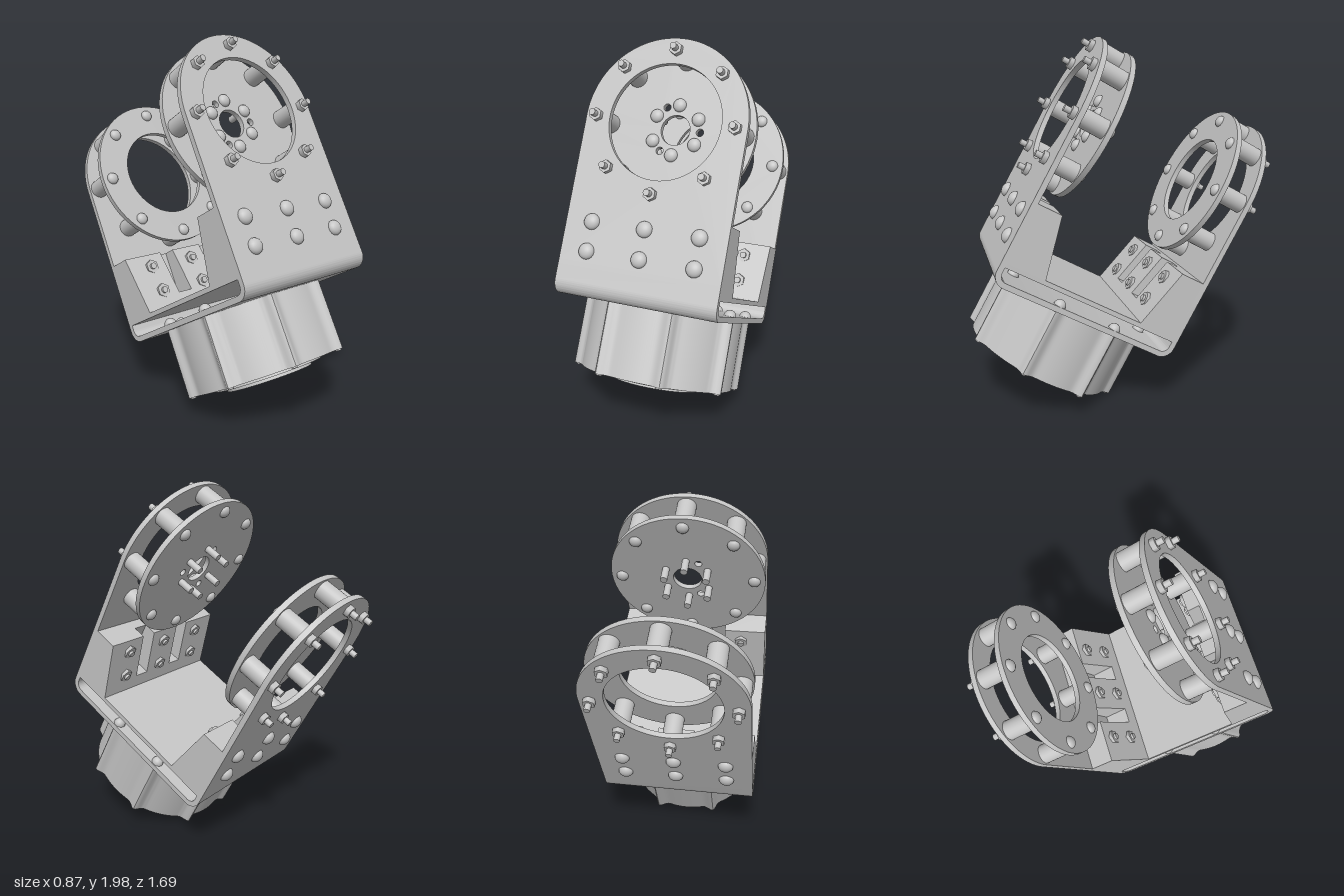
import * as THREE from 'three';
import { toCreasedNormals } from 'three/addons/utils/BufferGeometryUtils.js';

const W = 0.433;          // half width of the bracket
const CY = 1.257;         // height of the arm ring centres
const BACK = 0.01, FRONT = 1.07, T = 0.03;
const AXIS = 0.523;       // motor axis depth

export function createModel() {
  const metal = new THREE.MeshStandardMaterial({ color: 0xc4c4c4 });
  metal.name = 'grey metal';
  const body = new THREE.Group();
  body.name = 'tiltedAssembly';

  const add = (geo, name, parent = body) => {
    const m = new THREE.Mesh(geo, metal);
    m.name = name;
    parent.add(m);
    return m;
  };
  const extrude = (shape, depth) => toCreasedNormals(
    new THREE.ExtrudeGeometry(shape, { depth, bevelEnabled: false, curveSegments: 32 }), 0.6);
  // Profile given as (depth, height), extruded sideways from x0 to x1
  const sideways = (shape, x0, x1) =>
    extrude(shape, x1 - x0).rotateY(-Math.PI / 2).translate(x1, 0, 0);
  const polygon = (pts) => new THREE.Shape(pts.map(p => new THREE.Vector2(...p)));
  const hole = (shape, x, y, r) => shape.holes.push(new THREE.Path().absarc(x, y, r, 0, Math.PI * 2, true));
  // Round bar along z between two depths
  const bar = (name, r, x, y, z0, z1, sides = 20) =>
    add(new THREE.CylinderGeometry(r, r, Math.abs(z1 - z0), sides).rotateX(Math.PI / 2)
      .translate(x, y, (z0 + z1) / 2), name);
  // Domed screw head pointing along +z or -z
  const dome = (name, r, x, y, z, dir) => {
    const m = add(new THREE.SphereGeometry(r, 18, 6, 0, Math.PI * 2, 0, Math.PI / 2)
      .scale(1, 0.75, 1).rotateX(dir * Math.PI / 2), name);
    m.position.set(x, y, z);
  };

  // Lower U strip with rounded bends
  const r = 0.07, q = r - T, lo = 0.33, up = 0.5;
  const u = new THREE.Shape();
  u.moveTo(BACK, up);
  u.lineTo(BACK, lo + r);
  u.absarc(BACK + r, lo + r, r, Math.PI, Math.PI * 1.5, false);
  u.lineTo(FRONT - r, lo);
  u.absarc(FRONT - r, lo + r, r, -Math.PI / 2, 0, false);
  u.lineTo(FRONT, up);
  u.lineTo(FRONT - T, up);
  u.lineTo(FRONT - T, lo + r);
  u.absarc(FRONT - r, lo + r, q, 0, -Math.PI / 2, true);
  u.lineTo(BACK + r, lo + T);
  u.absarc(BACK + r, lo + r, q, -Math.PI / 2, -Math.PI, true);
  u.lineTo(BACK + T, up);
  add(sideways(u, -W, W), 'bracketBase');
  add(new THREE.BoxGeometry(2 * W, 0.025, FRONT - BACK - 2 * T)
    .translate(0, 0.4425, (FRONT + BACK) / 2), 'bracketFloor');

  // Two arms: dir is the outward direction, out the outer face of the plate
  for (const [label, dir, out] of [['front', 1, FRONT], ['back', -1, BACK]]) {
    const inner = out - dir * T;
    const ringOut = out - dir * 0.17, ringIn = out - dir * 0.2;

    const plate = new THREE.Shape();
    plate.moveTo(-W, up);
    plate.lineTo(W, up);
    plate.lineTo(W, CY);
    plate.absarc(0, CY, W, 0, Math.PI, false);
    hole(plate, 0, CY, 0.3);
    add(extrude(plate, T).translate(0, 0, Math.min(out, inner)), label + 'ArmPlate');

    // Inner plate: a drilled disc at the front, an open ring at the back
    const disc = new THREE.Shape().absarc(0, CY, W, 0, Math.PI * 2, false);
    if (dir > 0) {
      hole(disc, 0, CY, 0.08);
      for (let i = 0; i < 3; i++) {
        const a = i * Math.PI * 2 / 3;
        hole(disc, 0.135 * Math.cos(a), CY + 0.135 * Math.sin(a), 0.02);
      }
      for (let i = 0; i < 6; i++) {
        const a = Math.PI / 6 + i * Math.PI / 3;
        const x = 0.134 * Math.cos(a), y = CY + 0.134 * Math.sin(a);
        dome('hubScrewHead', 0.036, x, y, ringOut, 1);
        bar('hubScrewPin', 0.02, x, y, 0.785, ringOut);
      }
    } else hole(disc, 0, CY, 0.255);
    add(extrude(disc, T).translate(0, 0, Math.min(ringIn, ringOut)), label + 'InnerDisc');

    // Spacers with nuts outside and screw heads inside
    for (let i = 0; i < 8; i++) {
      const a = i * Math.PI / 4;
      const x = 0.372 * Math.cos(a), y = CY + 0.372 * Math.sin(a);
      bar(label + 'Spacer', 0.052, x, y, inner, ringOut, 28);
      bar(label + 'Nut', 0.034, x, y, out, out + dir * 0.028, 6);
      bar(label + 'BoltEnd', 0.017, x, y, out, out + dir * 0.065, 14);
      dome(label + 'ScrewHead', 0.034, x, y, ringIn, -dir);
    }

    // Wedge block with two open slots
    const d = (depth, y) => [inner - dir * depth, y];
    const b = 0.455, top = 0.785;
    const slope = (y) => 0.215 - 0.08 * (y - b) / (top - b);
    const full = polygon([d(0, b), d(0.215, b), d(0.135, top), d(0, top)]);
    const slot = polygon([d(0, b), d(0.215, b), d(slope(0.527), 0.527),
      d(0.06, 0.527), d(0.06, top), d(0, top)]);
    const cuts = [-W, -0.19, -0.1, 0.1, 0.19, W];
    for (let i = 0; i < 5; i++)
      add(sideways(i % 2 ? slot : full, cuts[i], cuts[i + 1]), label + 'Wedge');

    // Two rows of screws through the plate and the wedge
    for (const x of [-0.288, 0, 0.288]) for (const y of [0.71, 0.559]) {
      const face = inner - dir * slope(y);
      dome(label + 'PlateScrewHead', 0.042, x, y, out, dir);
      bar(label + 'WedgeNut', 0.04, x, y, inner, face - dir * 0.012, 6);
      bar(label + 'WedgeBoltEnd', 0.018, x, y, inner, face - dir * 0.025, 14);
    }
  }

  // Motor can: round wall with eight swollen bolt lobes
  const motor = new THREE.Group();
  motor.name = 'motor';
  motor.position.z = AXIS;
  body.add(motor);
  const outline = [];
  for (let i = 0; i < 240; i++) {
    const a = i * Math.PI / 120;
    const off = ((a + Math.PI * 2) % (Math.PI / 4)) - Math.PI / 8;
    const rad = 0.415 + 0.04 * Math.exp(-Math.pow(off / 0.07, 2));
    outline.push([rad * Math.cos(a), rad * Math.sin(a)]);
  }
  const can = polygon(outline);
  const lobes = Array.from({ length: 8 }, (_, i) => Math.PI / 8 + i * Math.PI / 4);
  hole(can, 0, 0, 0.1);
  add(extrude(can, 0.374).rotateX(-Math.PI / 2).translate(0, -0.039, 0), 'motorCan', motor);
  for (const a of lobes) {
    const x = 0.43 * Math.cos(a), z = 0.43 * Math.sin(a);
    add(new THREE.SphereGeometry(0.033, 16, 6, 0, Math.PI * 2, 0, Math.PI / 2)
      .translate(x, lo + T, z), 'motorScrewHead', motor);
    add(new THREE.CylinderGeometry(0.015, 0.015, 0.012, 14).translate(x, -0.04, z), 'motorBoltTip', motor);
  }

  // Stepped output face under the motor
  const ring = (ro, ri, y0, y1, name) => {
    const s = new THREE.Shape().absarc(0, 0, ro, 0, Math.PI * 2, false);
    hole(s, 0, 0, ri);
    add(extrude(s, y1 - y0).rotateX(-Math.PI / 2).translate(0, y0, 0), name, motor);
  };
  ring(0.3, 0.24, -0.058, -0.035, 'outputOuterRing');
  ring(0.24, 0.2, -0.077, -0.035, 'outputInnerRing');
  ring(0.2, 0.1, -0.066, -0.035, 'outputFlange');
  add(new THREE.CylinderGeometry(0.105, 0.105, 0.3, 32).translate(0, 0.16, 0), 'motorCore', motor);
  for (let i = 0; i < 8; i++) {
    const a = i * Math.PI / 4;
    add(new THREE.CylinderGeometry(0.018, 0.018, 0.02, 14)
      .translate(0.145 * Math.cos(a), -0.068, 0.145 * Math.sin(a)), 'outputScrew', motor);
  }

  // Lean the assembly back and stand it on the ground
  body.rotation.x = -THREE.MathUtils.degToRad(29);
  const model = new THREE.Group();
  model.name = 'jointBracket';
  model.add(body);
  model.updateMatrixWorld(true);
  const box = new THREE.Box3().setFromObject(model, true);
  body.position.set(0, -box.min.y, -(box.min.z + box.max.z) / 2);
  return model;
}
